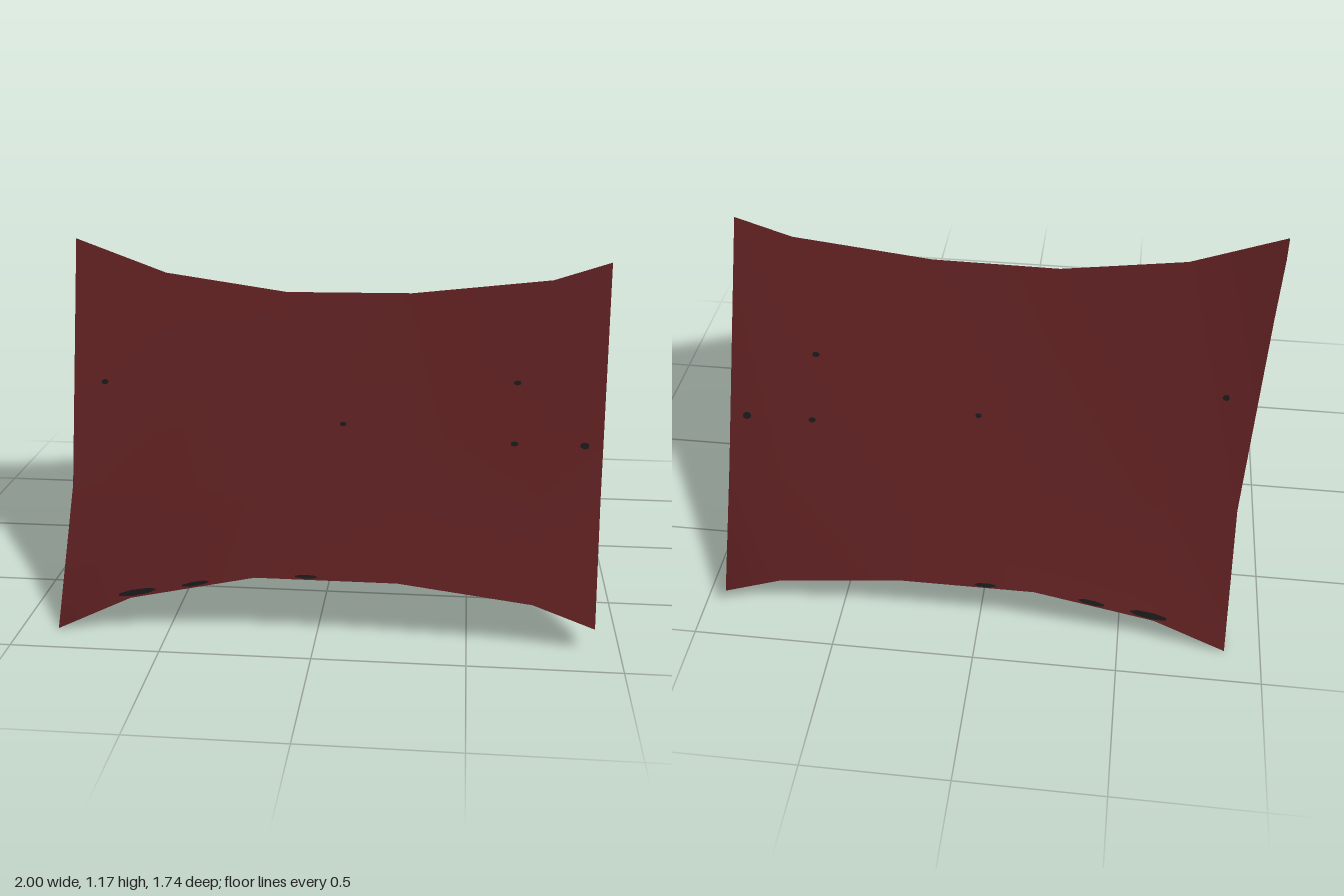
import * as THREE from 'three';

const mat = (name, color) => {
  const m = new THREE.MeshStandardMaterial({ color });
  m.name = name;
  return m;
};

// Six ribs along the roof: x and y at ridge, bend and eave
const RIBS = [
  { x: [-1, -0.885, -0.875], y: [1.175, 0.41, 0] },
  { x: [-0.66, -0.64, -0.62], y: [1.05, 0.43, 0.125] },
  { x: [-0.2, -0.2, -0.2], y: [0.985, 0.43, 0.217] },
  { x: [0.27, 0.27, 0.27], y: [0.99, 0.43, 0.217] },
  { x: [0.79, 0.74, 0.71], y: [1.05, 0.43, 0.16] },
  { x: [1, 0.94, 0.915], y: [1.12, 0.42, 0.082] },
];
const OUT_Z = [0, 0.585, 0.87];
const IN_Z = [0, 0.525, 0.78];
const IN_DY = [-0.09, -0.03, 0.013];

const outer = (rib) => OUT_Z.map((z, i) => [rib.x[i], rib.y[i], z]);
const inner = (rib) => IN_Z.map((z, i) => [rib.x[i], rib.y[i] + IN_DY[i], z]);

// Surface through rows of points; side mirrors it in z, up turns it to face upwards
function sheet(rows, side, up) {
  const n = rows[0].length;
  const g = new THREE.BufferGeometry();
  const pos = rows.flat().flatMap(([x, y, z]) => [x, y, z * side]);
  const index = [];
  for (let r = 0; r < rows.length - 1; r++) {
    for (let c = 0; c < n - 1; c++) {
      const a = r * n + c, b = a + 1, d = a + n, e = d + 1;
      if ((side > 0) === up) index.push(a, b, d, b, e, d);
      else index.push(a, d, b, b, d, e);
    }
  }
  g.setAttribute('position', new THREE.Float32BufferAttribute(pos, 3));
  g.setIndex(index);
  g.computeVertexNormals();
  return g;
}

// Outline in (z, y) extruded along x, centred on x = 0
function slab(points, depth) {
  const shape = new THREE.Shape(points.map(([z, y]) => new THREE.Vector2(z, y)));
  const g = new THREE.ExtrudeGeometry(shape, { depth, bevelEnabled: false });
  return g.translate(0, 0, -depth / 2).rotateY(-Math.PI / 2);
}

// Height of the roof covering at x and z (z >= 0)
function roofHeight(x, z) {
  const k = z < OUT_Z[1] ? 0 : 1;
  const t = (z - OUT_Z[k]) / (OUT_Z[k + 1] - OUT_Z[k]);
  const line = RIBS.map((r) => [
    THREE.MathUtils.lerp(r.x[k], r.x[k + 1], t), THREE.MathUtils.lerp(r.y[k], r.y[k + 1], t),
  ]);
  const i = Math.max(1, line.findIndex((p) => p[0] >= x));
  return THREE.MathUtils.mapLinear(x, line[i - 1][0], line[i][0], line[i - 1][1], line[i][1]);
}

// Small worn spots on the covering: x, z, half length, half width
const SPOTS = [
  [-0.82, 0.34, 0.013, 0.011], [0.05, 0.405, 0.012, 0.009], [0.48, 0.445, 0.011, 0.009],
  [0.65, 0.455, 0.014, 0.01], [0.66, 0.29, 0.014, 0.01], [0.89, 0.46, 0.016, 0.013],
  [-0.6, 0.86, 0.07, 0.011], [-0.4, 0.862, 0.05, 0.008], [-0.03, 0.863, 0.04, 0.007],
];

// Flat spot lying just above the slope
function spot([x, z, length, width], side) {
  const h = 0.004;
  const y = roofHeight(x, z);
  const along = new THREE.Vector3(h, roofHeight(x + h, z) - y, 0).normalize();
  const uphill = new THREE.Vector3(0, roofHeight(x, z - h) - y, -h * side).normalize();
  const normal = along.clone().cross(uphill).normalize().multiplyScalar(side);
  const across = normal.clone().cross(along);
  const m = new THREE.Matrix4().makeBasis(along, across, normal);
  m.setPosition(x + normal.x * 0.005, y + normal.y * 0.005, z * side + normal.z * 0.005);
  return new THREE.CircleGeometry(1, 7).scale(length, width, 1).applyMatrix4(m);
}

export function createModel() {
  const model = new THREE.Group();
  model.name = 'saddleRoof';
  const red = mat('roofRed', 0x551c1d);
  const dark = mat('undersideBlack', 0x161616);
  const grey = mat('eaveGrey', 0xd0d0d0);
  const tan = mat('timberTan', 0x976c5a);

  const add = (parent, name, geometry, material) => {
    const m = new THREE.Mesh(geometry, material);
    m.name = name;
    parent.add(m);
  };

  const gableX = [-0.66, 0.755];

  for (const side of [1, -1]) {
    const slope = new THREE.Group();
    slope.name = side > 0 ? 'frontSlope' : 'backSlope';
    add(slope, 'roofCovering', sheet(RIBS.map(outer), side, true), red);
    add(slope, 'roofUnderside', sheet(RIBS.map(inner), side, false), dark);
    // Bottom of the eave
    add(slope, 'eaveEdge', sheet(RIBS.map((r) => [inner(r)[2], outer(r)[2]]), side, false), grey);
    // Boards closing both ends
    const first = RIBS[0], last = RIBS[RIBS.length - 1];
    add(slope, 'vergeBoard', sheet([inner(first), outer(first)], side, true), red);
    add(slope, 'vergeBoard', sheet([outer(last), inner(last)], side, true), red);
    // Ceiling between the gables
    const xs = [gableX[0], -0.2, 0.27, gableX[1]];
    const rows = xs.map((x) => [[x, roofHeight(x, 0) - 0.098, 0], [x, 0.39, 0.525]]);
    add(slope, 'ceilingPanel', sheet(rows, side, false), red);
    for (const s of SPOTS) add(slope, 'wornSpot', spot(s, side), dark);
    model.add(slope);
  }

  // Timber gables with a tie beam and raised boards
  const top = 0.96;
  const roofLine = (z) => top - 1.077 * Math.abs(z);
  for (const x of gableX) {
    const gable = new THREE.Group();
    gable.name = x > 0 ? 'leftGable' : 'rightGable';
    gable.position.x = x;
    add(gable, 'gableWall', slab([[-0.53, 0.39], [0.53, 0.39], [0, top]], 0.04), tan);
    add(gable, 'tieBeam', slab([[-0.56, 0.308], [0.56, 0.308], [0.52, 0.4], [-0.52, 0.4]], 0.1), tan);
    for (const s of [1, -1]) {
      const a = 0.107 * s, b = 0.19 * s;
      add(gable, 'gableBoard', slab([[a, 0.4], [b, 0.4], [b, roofLine(b)], [a, roofLine(a)]], 0.075), tan);
    }
    model.add(gable);
  }
  return model;
}
